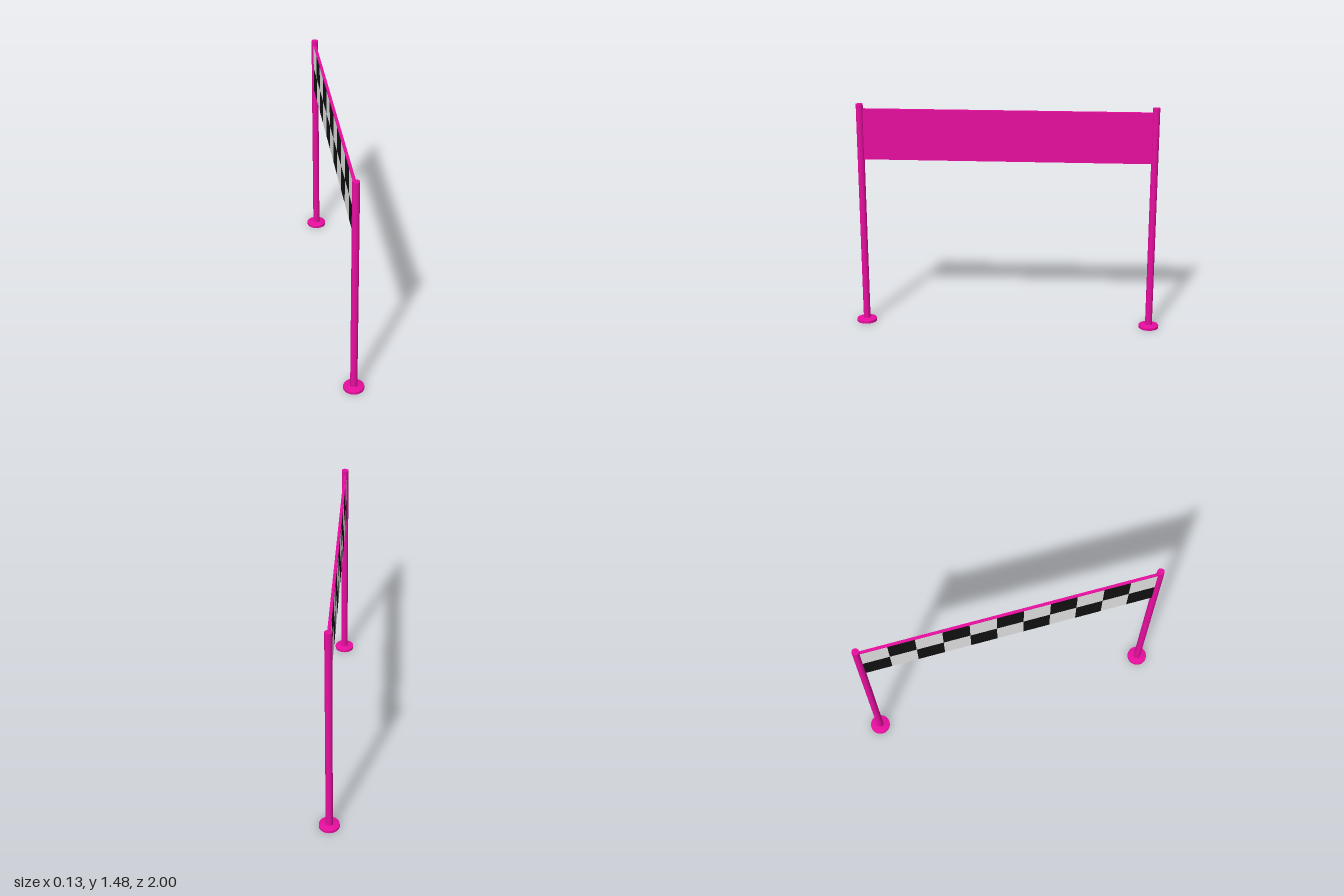
import * as THREE from 'three';

const POLE_Z = 0.935;
const BANNER = { bottom: 1.115, top: 1.445, halfLength: 0.935, thickness: 0.018 };

function material(name, color) {
  const m = new THREE.MeshStandardMaterial({ color });
  m.name = name;
  return m;
}

function addMesh(parent, name, geometry, mat, x, y, z) {
  const mesh = new THREE.Mesh(geometry, mat);
  mesh.name = name;
  mesh.position.set(x, y, z);
  parent.add(mesh);
  return mesh;
}

export function createModel() {
  const model = new THREE.Group();
  model.name = 'finishGate';
  const magenta = material('magenta', 0xf00fa5);
  const white = material('white', 0xf5f5f5);
  const black = material('black', 0x111111);

  // Two poles, each on a round foot with a gently sloping top
  for (const side of [1, -1]) {
    const post = new THREE.Group();
    post.name = side > 0 ? 'frontPost' : 'backPost';
    post.position.z = side * POLE_Z;
    addMesh(post, 'pole', new THREE.CylinderGeometry(0.0225, 0.0225, 1.46, 20), magenta, 0, 0.745, 0);
    addMesh(post, 'footRim', new THREE.CylinderGeometry(0.065, 0.065, 0.017, 24), magenta, 0, 0.0085, 0);
    addMesh(post, 'footTop', new THREE.CylinderGeometry(0.025, 0.065, 0.008, 24, 1, true), magenta, 0, 0.021, 0);
    model.add(post);
  }

  // Banner panel between the poles
  const height = BANNER.top - BANNER.bottom;
  const middle = (BANNER.top + BANNER.bottom) / 2;
  addMesh(model, 'bannerPanel',
    new THREE.BoxGeometry(BANNER.thickness, height, BANNER.halfLength * 2), magenta, 0, middle, 0);

  // Chequered face on the -x side, 11 columns by 2 rows
  const checks = new THREE.Group();
  checks.name = 'chequeredFace';
  const columns = 11, rows = 2, faceLength = 1.83;
  const w = faceLength / columns, h = height / rows;
  const square = new THREE.PlaneGeometry(w, h).rotateY(-Math.PI / 2);
  for (let c = 0; c < columns; c++) {
    for (let r = 0; r < rows; r++) {
      const isBlack = (c + r) % 2 === 0;
      addMesh(checks, isBlack ? 'blackSquare' : 'whiteSquare', square, isBlack ? black : white,
        -BANNER.thickness / 2 - 0.002, BANNER.bottom + (r + 0.5) * h, -faceLength / 2 + (c + 0.5) * w);
    }
  }
  model.add(checks);
  return model;
}
